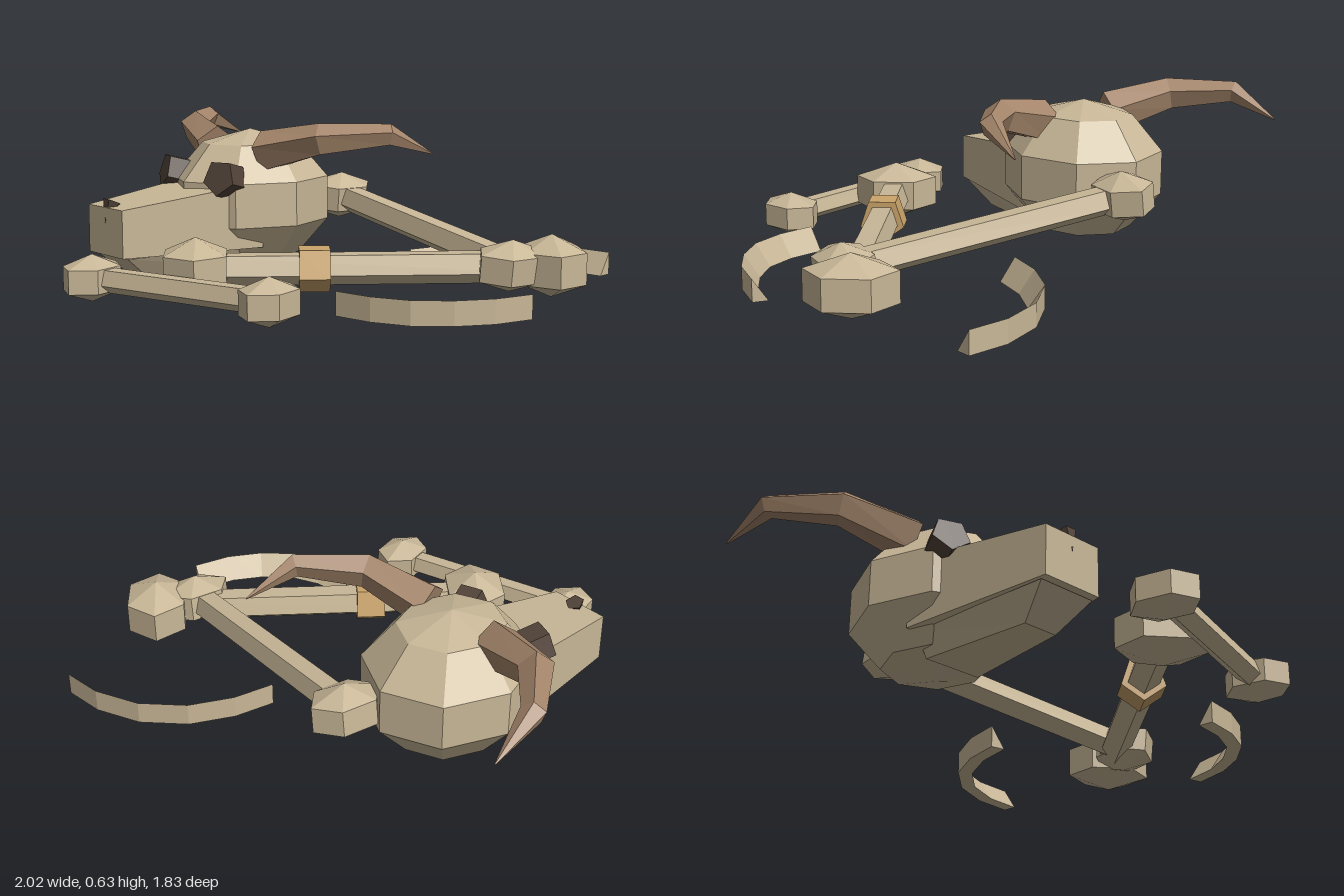
import * as THREE from 'three';

const boneMat = new THREE.MeshStandardMaterial({ color: 0xc8b797 });
boneMat.name = 'bone';
const hornMat = new THREE.MeshStandardMaterial({ color: 0xa5866b });
hornMat.name = 'horn';
const darkMat = new THREE.MeshStandardMaterial({ color: 0x524338 });
darkMat.name = 'dark hollow';
const bandMat = new THREE.MeshStandardMaterial({ color: 0xcba46a });
bandMat.name = 'tan binding';

const V = (x, y, z) => new THREE.Vector3(x, y, z);
const UP = V(0, 1, 0);

// Faceted mesh
function part(name, geometry, material, parent) {
  const g = geometry.index ? geometry.toNonIndexed() : geometry;
  g.computeVertexNormals();
  const mesh = new THREE.Mesh(g, material);
  mesh.name = name;
  parent.add(mesh);
  return mesh;
}

// Joins rings of points (counter-clockwise around the direction of travel) and caps the ends
function loft(rings) {
  const pos = [];
  const tri = (a, b, c) => pos.push(...a.toArray(), ...b.toArray(), ...c.toArray());
  const n = rings[0].length, last = rings[rings.length - 1];
  for (let i = 0; i < rings.length - 1; i++) {
    const a = rings[i], b = rings[i + 1];
    for (let j = 0; j < n; j++) {
      const k = (j + 1) % n;
      tri(a[j], a[k], b[k]);
      tri(a[j], b[k], b[j]);
    }
  }
  for (let j = 1; j < n - 1; j++) {
    tri(rings[0][0], rings[0][j + 1], rings[0][j]);
    tri(last[0], last[j], last[j + 1]);
  }
  const g = new THREE.BufferGeometry();
  g.setAttribute('position', new THREE.Float32BufferAttribute(pos, 3));
  return g;
}

// Sweeps a 2D section (side, up) along a path, scaled per point
function sweep(path, section, scales) {
  return loft(path.map((p, i) => {
    const t = path[Math.min(i + 1, path.length - 1)].clone().sub(path[Math.max(i - 1, 0)]).normalize();
    const s = UP.clone().cross(t).normalize();
    const u = t.clone().cross(s);
    const k = scales ? scales[i] : 1;
    return section.map(([a, b]) => p.clone().addScaledVector(s, a * k).addScaledVector(u, b * k));
  }));
}

// Long bone along local z with a faceted knob at each end
function longBone(name, from, to, shaftRadius, knob, parent) {
  const bone = new THREE.Group();
  bone.name = name;
  const length = from.distanceTo(to);
  bone.position.copy(from).add(to).multiplyScalar(0.5);
  bone.lookAt(to);
  part('shaft', new THREE.CylinderGeometry(shaftRadius, shaftRadius, length, 5).rotateX(Math.PI / 2), boneMat, bone);
  for (const side of [-1, 1]) {
    const end = part('knob', new THREE.SphereGeometry(knob, 6, 3).scale(1.65, 1, 1.28), boneMat, bone);
    end.position.z = side * length / 2;
  }
  parent.add(bone);
  return bone;
}

// Tapered block: each end is [z, bottom half width, top half width, bottom y, top y, bottom z offset]
function taperedBlock(ends) {
  return loft(ends.map(([z, wb, wt, b, t, dz = 0]) =>
    [V(-wb, b, z + dz), V(wb, b, z + dz), V(wt, t, z), V(-wt, t, z)]));
}

function buildSkull() {
  const skull = new THREE.Group();
  skull.name = 'skull';
  skull.position.set(-0.51, 0, -0.25);
  skull.rotation.y = -0.425;

  part('cranium', new THREE.SphereGeometry(1, 8, 5).scale(0.325, 0.29, 0.36), boneMat, skull).position.y = 0.3;
  part('snout', taperedBlock([[0.1, 0.213, 0.213, 0.12, 0.39], [0.716, 0.123, 0.123, 0.13, 0.32]]), boneMat, skull);
  part('jaw', taperedBlock([[0.1, 0.12, 0.17, 0.03, 0.125], [0.69, 0.07, 0.118, 0.025, 0.125, -0.13]]), boneMat, skull);

  const pentagon = [];
  for (let i = 0; i < 5; i++) {
    const a = Math.PI / 2 + i * Math.PI * 2 / 5;
    pentagon.push([Math.cos(a), Math.sin(a)]);
  }
  for (const side of [-1, 1]) {
    // Horn curving outward, then back
    const path = [V(0.17, 0.505, 0.055), V(0.435, 0.57, -0.025), V(0.615, 0.59, -0.23), V(0.65, 0.505, -0.435)];
    path.forEach(p => { p.x *= side; });
    part('horn', sweep(path, pentagon, [0.09, 0.068, 0.046, 0.003]), hornMat, skull);
    // Eye socket plug facing forward and outward
    const eye = part('eyeSocket', new THREE.CylinderGeometry(0.075, 0.075, 0.1, 5).rotateX(Math.PI / 2), darkMat, skull);
    eye.position.set(side * 0.175, 0.41, 0.26);
    eye.rotation.set(-0.25, side * 0.35, 0, 'YXZ');
  }
  // Nose hollow
  const nose = part('noseHollow', new THREE.ConeGeometry(0.038, 0.09, 5).rotateX(Math.PI), darkMat, skull);
  nose.position.set(0, 0.3, 0.7);
  nose.rotation.x = -0.4;
  return skull;
}

export function createModel() {
  const model = new THREE.Group();
  model.name = 'bonePile';
  model.add(buildSkull());

  longBone('leaningBone', V(-0.24, 0.285, -0.57), V(0.74, 0.15, 0.04), 0.06, 0.1, model);
  longBone('smallBone', V(-0.68, 0.1, 0.68), V(0.12, 0.1, 0.785), 0.05, 0.09, model);
  const bound = longBone('boundBone', V(-0.31, 0.14, 0.55), V(0.86, 0.14, -0.08), 0.065, 0.12, model);
  // Binding around the shaft
  part('binding', new THREE.CylinderGeometry(0.092, 0.092, 0.115, 5).rotateX(Math.PI / 2), bandMat, bound)
    .position.z = -0.225;

  // Ribs: wedge section, upright outside and sloping inside
  const wedge = [[-0.03, -0.045], [0.03, -0.045], [0.03, 0.045]];
  const rib = (name, pts) =>
    part(name, sweep(pts.map(([x, z]) => V(x, 0.065, z)), wedge), boneMat, model);
  rib('backRib', [[0.21, -0.32], [0.3, -0.455], [0.43, -0.57], [0.6, -0.635], [0.78, -0.635], [0.935, -0.585]]);
  rib('frontRib', [[0.89, 0.305], [0.8, 0.43], [0.69, 0.515], [0.56, 0.57], [0.42, 0.572], [0.275, 0.535]]);

  return model;
}
